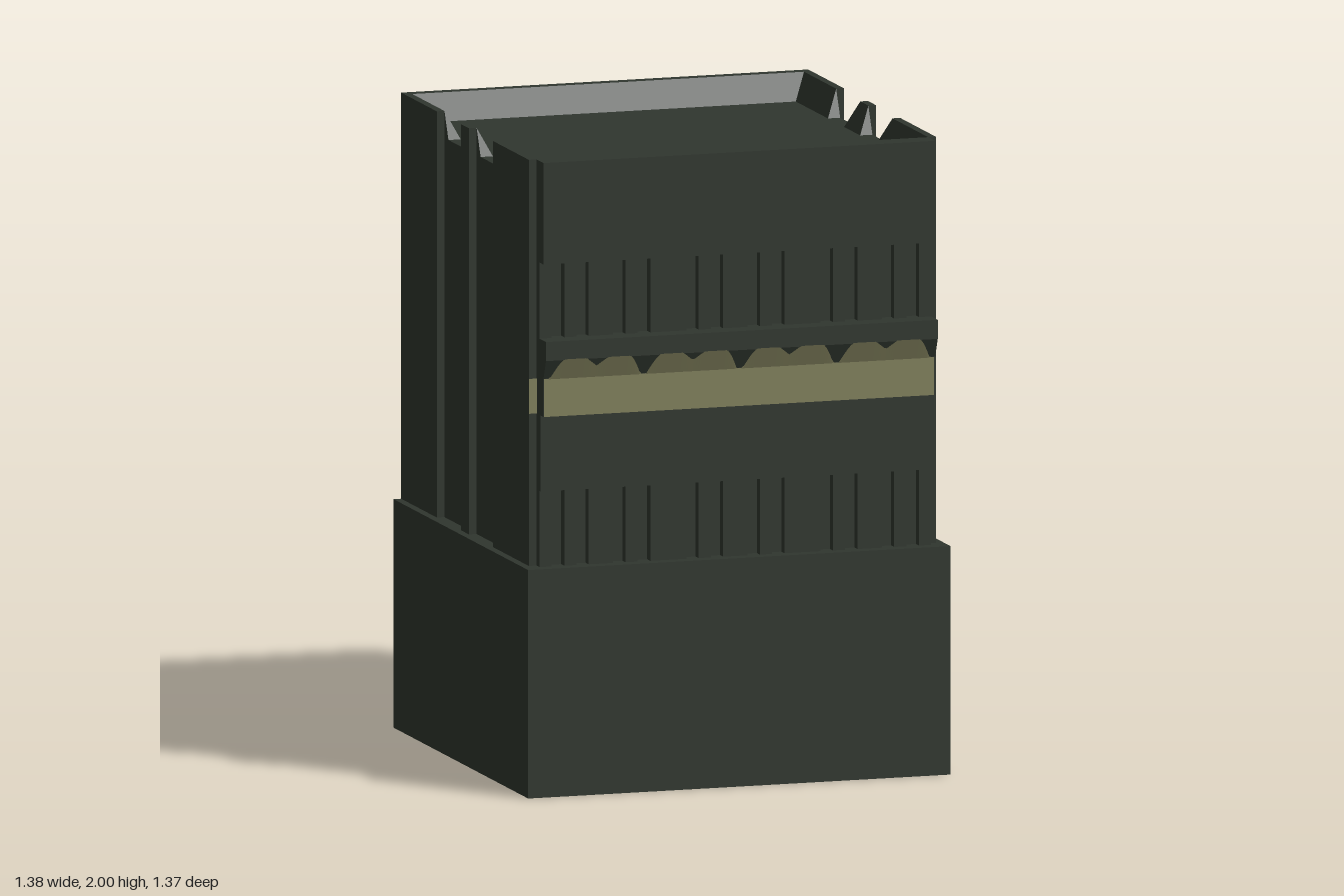
import * as THREE from 'three';
import { ConvexGeometry } from 'three/addons/geometries/ConvexGeometry.js';

const stone = new THREE.MeshStandardMaterial({ color: 0x2f362e });
stone.name = 'dark green stone';
const cream = new THREE.MeshStandardMaterial({ color: 0x82815d });
cream.name = 'faded cream awning';

const BASE_TOP = 0.72, ROOF = 1.915, TOP = 2, BACK = -0.68, WALL_Z = 0.59, WALL_X = 0.64, PIER_X = 0.665;

export function createModel() {
  const model = new THREE.Group();
  model.name = 'building';

  const add = (name, geometry, material = stone) => {
    const mesh = new THREE.Mesh(geometry, material);
    mesh.name = name;
    model.add(mesh);
    return mesh;
  };
  // Box given by its limits
  const box = (name, x0, x1, y0, y1, z0, z1) =>
    add(name, new THREE.BoxGeometry(x1 - x0, y1 - y0, z1 - z0)
      .translate((x0 + x1) / 2, (y0 + y1) / 2, (z0 + z1) / 2));
  // Side profile [z, y] drawn out along x between -w and w
  const sideProfile = (name, points, w) => {
    const shape = new THREE.Shape(points.map(([z, y]) => new THREE.Vector2(-z, y)));
    const g = new THREE.ExtrudeGeometry(shape, { depth: 2 * w, bevelEnabled: false });
    return add(name, g.translate(0, 0, -w).rotateY(Math.PI / 2));
  };

  // Plinth and main block
  box('base', -0.69, 0.69, 0, BASE_TOP, BACK, 0.66);
  box('mainBlock', -WALL_X, WALL_X, BASE_TOP, ROOF, BACK, WALL_Z);

  // Side piers with sloped parapet blocks behind them
  const piers = [[BACK, -0.325], [-0.085, -0.005], [0.235, WALL_Z]];
  for (const side of [-1, 1]) {
    for (const [z0, z1] of piers) {
      const [xa, xb] = [side * WALL_X, side * PIER_X].sort((a, b) => a - b);
      box('sidePier', xa, xb, BASE_TOP, TOP, z0, z1);
      const f0 = z0 === BACK ? z0 : z0 - 0.04;
      const f1 = z1 === WALL_Z ? z1 : z1 + 0.04;
      const points = [];
      for (const [x, y, a, b] of [[WALL_X, TOP, z0, z1], [WALL_X, ROOF, f0, f1], [0.6, ROOF, f0, f1]])
        for (const z of [a, b]) points.push(new THREE.Vector3(side * x, y, z));
      add('sideParapet', new ConvexGeometry(points));
    }
  }

  // Front and back parapets, sloped on the roof side
  sideProfile('backParapet', [[BACK, ROOF], [BACK, TOP], [-0.645, TOP], [-0.605, ROOF]], WALL_X);
  sideProfile('frontParapet', [[0.55, ROOF], [WALL_Z, TOP], [WALL_Z, ROOF]], WALL_X);

  // Facade bands
  box('upperFacade', -WALL_X, WALL_X, 1.68, TOP, WALL_Z, 0.66);
  box('lowerFacade', -WALL_X, WALL_X, 0.96, 1.2, WALL_Z, 0.63);
  sideProfile('cornice',
    [[WALL_Z, 1.2], [0.66, 1.2], [0.66, 1.32], [0.685, 1.38], [0.685, 1.44], [WALL_Z, 1.44]], WALL_X);

  // Two window rows: wide piers, with three mullions in each bay
  for (const [y0, y1] of [[BASE_TOP, 0.96], [1.44, 1.68]]) {
    const bars = [[-WALL_X, -0.6], [-0.278, -0.16], [0.16, 0.278], [0.6, WALL_X]];
    for (const c of [-0.439, 0, 0.439])
      bars.push([c - 0.12, c - 0.08], [c - 0.04, c + 0.04], [c + 0.08, c + 0.12]);
    for (const [x0, x1] of bars) box('windowBar', x0, x1, y0, y1, WALL_Z, 0.62);
  }

  // Scalloped painted band: deep dips between scallops, shallow dips halfway
  const scallop = (x) => {
    const period = 0.315;
    const d = Math.abs(x - period * Math.round(x / period));
    const deep = Math.min(1, Math.max(0, 1.25 - d / 0.04));
    const shallow = Math.max(0, 1 - Math.abs(d - period / 2) / 0.035);
    return 1.383 - 0.063 * Math.pow(deep, 1.4) - 0.027 * shallow;
  };
  const band = (name, x0, x1, columns, depth) => {
    const g = new THREE.PlaneGeometry(x1 - x0, 1, columns, 2).translate((x0 + x1) / 2, 0, 0);
    const p = g.attributes.position;
    for (let i = 0; i < p.count; i++) {
      const row = Math.floor(i / (columns + 1));
      const y = [scallop(p.getX(i)), 1.318, 1.2][row];
      p.setXYZ(i, p.getX(i), y, depth(y));
    }
    const flat = g.toNonIndexed();
    flat.computeVertexNormals();
    return add(name, flat, cream);
  };
  band('frontAwning', -WALL_X, 0.635, 160, (y) => 0.663 + Math.max(0, y - 1.32) * 0.417);

  // Back band: same outline, turned to face backward
  const back = band('backBand', -PIER_X, 0.635, 160, () => BACK - 0.003);
  const bp = back.geometry.attributes.position;
  for (let i = 0; i < bp.count; i += 3) {
    const a = new THREE.Vector3().fromBufferAttribute(bp, i);
    const b = new THREE.Vector3().fromBufferAttribute(bp, i + 1);
    bp.setXYZ(i, b.x, b.y, b.z);
    bp.setXYZ(i + 1, a.x, a.y, a.z);
  }
  back.geometry.computeVertexNormals();

  // Painted end of the band on the corner pier
  add('awningReturn', new THREE.PlaneGeometry(PIER_X - WALL_X, 0.11)
    .translate(-(PIER_X + WALL_X) / 2, 1.255, WALL_Z + 0.003), cream);

  return model;
}
